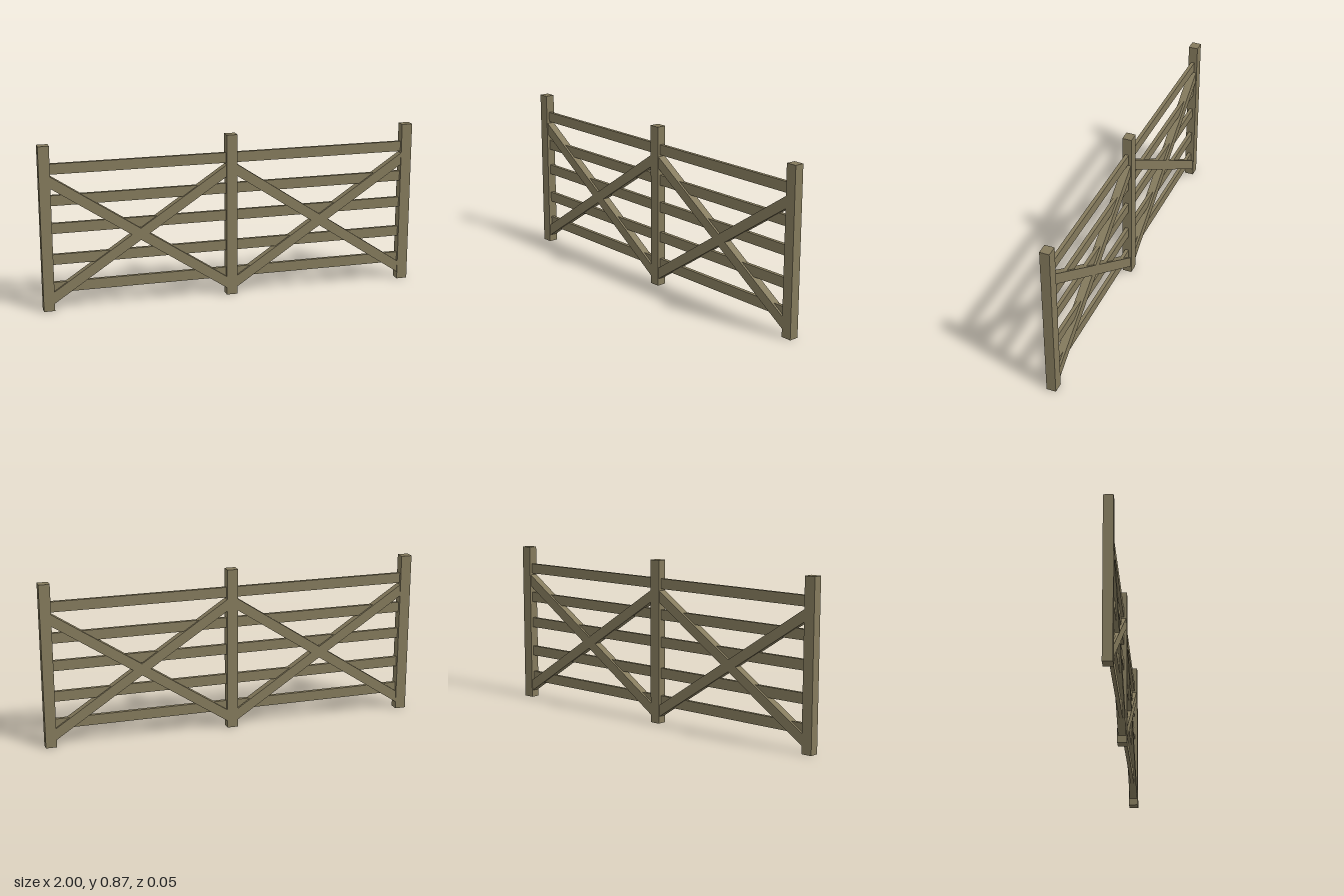
import * as THREE from 'three';

export function createModel() {
  const gate = new THREE.Group();
  gate.name = 'fieldGate';
  const wood = new THREE.MeshStandardMaterial({ color: 0x847a5c });
  wood.name = 'weathered wood';

  const add = (name, geometry, x, y, z) => {
    const mesh = new THREE.Mesh(geometry, wood);
    mesh.name = name;
    mesh.position.set(x, y, z);
    gate.add(mesh);
  };

  // Three upright posts
  const height = 0.865, postWidth = 0.057, postDepth = 0.05;
  const postGeometry = new THREE.BoxGeometry(postWidth, height, postDepth);
  [['rightPost', -0.9715], ['middlePost', 0], ['leftPost', 0.9715]]
    .forEach(([name, x]) => add(name, postGeometry, x, height / 2, 0));

  // A diagonal with vertical ends, cut flush against the posts
  const inner = 0.0285, outer = 0.943, braceDepth = 0.042;
  const brace = (yInner, yOuter, side) => {
    const h = 0.031;
    const shape = new THREE.Shape([
      new THREE.Vector2(side * inner, yInner - h),
      new THREE.Vector2(side * outer, yOuter - h),
      new THREE.Vector2(side * outer, yOuter + h),
      new THREE.Vector2(side * inner, yInner + h),
    ]);
    return new THREE.ExtrudeGeometry(shape, { depth: braceDepth, bevelEnabled: false });
  };

  // Each panel: five thin rails in the middle plane and a crossed pair of braces
  const railGeometry = new THREE.BoxGeometry(outer - inner, 0.054, 0.019);
  for (const [label, side] of [['right', -1], ['left', 1]]) {
    [0.122, 0.27, 0.434, 0.58, 0.743].forEach((y, i) =>
      add(`${label}Rail${i + 1}`, railGeometry, side * (inner + outer) / 2, y, 0));
    add(`${label}BraceRising`, brace(0.069, 0.676, side), 0, 0, -braceDepth / 2);
    add(`${label}BraceFalling`, brace(0.676, 0.069, side), 0, 0, -braceDepth / 2);
  }
  return gate;
}
